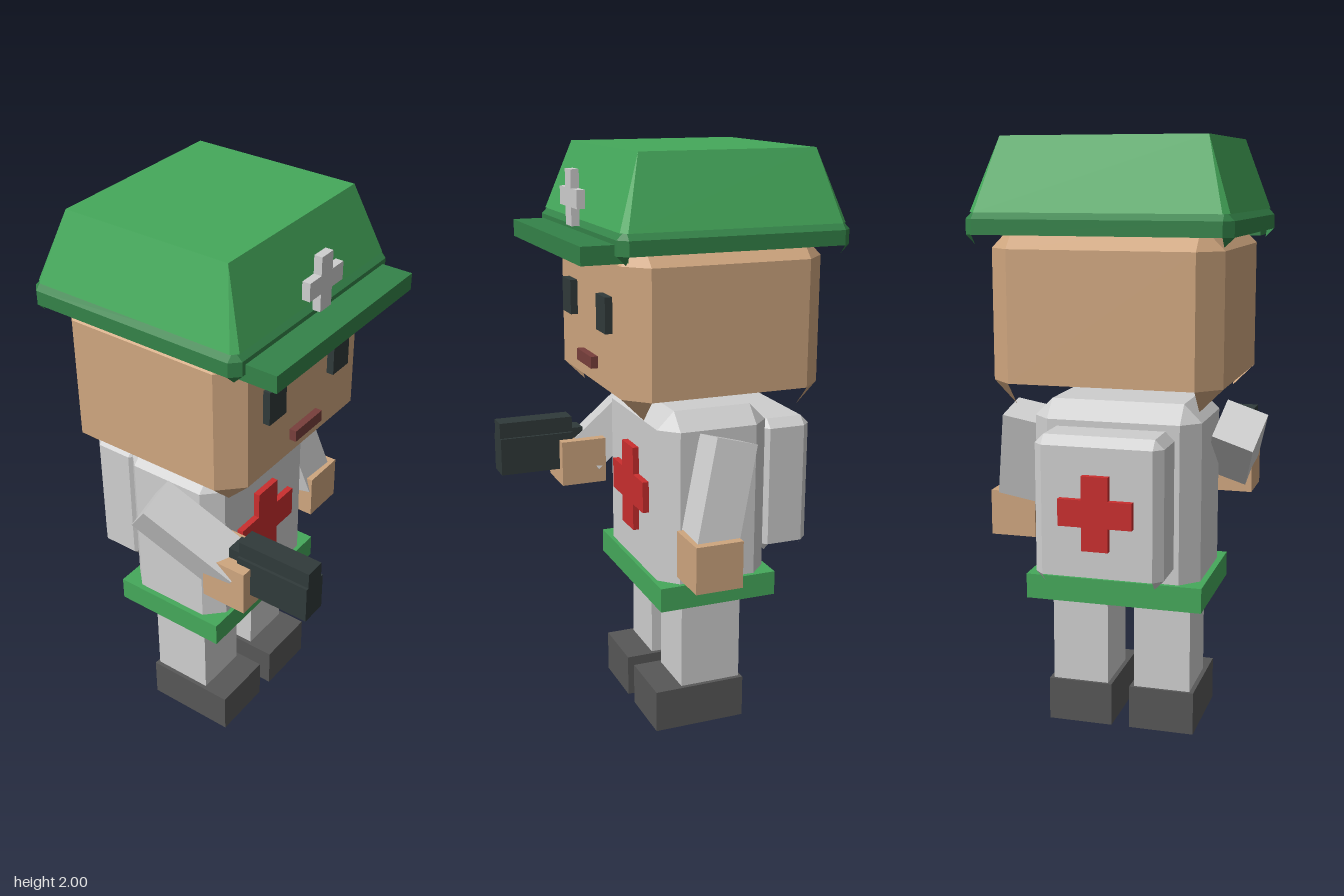
import * as THREE from 'three';

const material = (name, color) => {
  const m = new THREE.MeshStandardMaterial({ color, side: THREE.DoubleSide });
  m.name = name;
  return m;
};

// Eight-point ring around the y axis; c is the corner cut (0 makes doubled corners)
function ring(hx, hz, c, y) {
  const pts = [];
  for (const [sx, sz] of [[-1, 1], [1, 1], [1, -1], [-1, -1]]) {
    const onX = new THREE.Vector3(sx * hx, y, sz * (hz - c));
    const onZ = new THREE.Vector3(sx * (hx - c), y, sz * hz);
    pts.push(...(sx * sz < 0 ? [onX, onZ] : [onZ, onX]));
  }
  return pts;
}

// Flat-faced skin through the rings, closed on top, open below, with optional corner tips
function loft(rings, tips) {
  const pos = [];
  const tri = (a, b, c) => {
    if (a.distanceTo(b) < 1e-6 || b.distanceTo(c) < 1e-6 || a.distanceTo(c) < 1e-6) return;
    for (const p of [a, b, c]) pos.push(p.x, p.y, p.z);
  };
  for (let r = 0; r + 1 < rings.length; r++) {
    const a = rings[r], b = rings[r + 1];
    for (let i = 0; i < 8; i++) {
      const j = (i + 1) % 8;
      tri(a[i], a[j], b[j]);
      tri(a[i], b[j], b[i]);
    }
  }
  const top = rings[rings.length - 1];
  for (let i = 1; i < 7; i++) tri(top[0], top[i], top[i + 1]);
  if (tips) for (let i = 0; i < 8; i += 2) tri(rings[0][i], tips[i], rings[0][i + 1]);
  const g = new THREE.BufferGeometry();
  g.setAttribute('position', new THREE.Float32BufferAttribute(pos, 3));
  g.computeVertexNormals();
  return g;
}

export function createModel() {
  const model = new THREE.Group();
  model.name = 'medic';
  const skin = material('skin', 0xcfa67f);
  const cloth = material('light grey cloth', 0xcfcfcf);
  const green = material('green', 0x45a95b);
  const darkGreen = material('dark green', 0x348349);
  const red = material('red', 0xca2e2e);
  const dark = material('near black', 0x303a3a);
  const shoeGrey = material('shoe grey', 0x575757);
  const lip = material('lip brown', 0x783f3b);

  const add = (name, geometry, mat, parent = model) => {
    const mesh = new THREE.Mesh(geometry, mat);
    mesh.name = name;
    parent.add(mesh);
    return mesh;
  };

  // Box given by its extents
  function box(name, mat, [x0, x1], [y0, y1], [z0, z1], parent) {
    const m = add(name, new THREE.BoxGeometry(x1 - x0, y1 - y0, z1 - z0), mat, parent);
    m.position.set((x0 + x1) / 2, (y0 + y1) / 2, (z0 + z1) / 2);
    return m;
  }

  // Box without a bottom
  function lid(name, mat, [x0, x1], [y0, y1], [z0, z1]) {
    const hx = (x1 - x0) / 2, hz = (z1 - z0) / 2;
    const m = add(name, loft([ring(hx, hz, 0, y0), ring(hx, hz, 0, y1)]), mat);
    m.position.set((x0 + x1) / 2, 0, (z0 + z1) / 2);
  }

  // Chamfered box, open below, with pointed lower corners
  function chamfered(name, mat, [x0, x1], [y0, y1], [z0, z1], c) {
    const hx = (x1 - x0) / 2, hz = (z1 - z0) / 2;
    const inner = (y) => ring(hx - c, hz - c, 0, y);
    const g = loft([ring(hx, hz, c, y0 + c), ring(hx, hz, c, y1 - c), inner(y1)], inner(y0));
    add(name, g, mat).position.set((x0 + x1) / 2, 0, (z0 + z1) / 2);
  }

  // Plus-shaped plate
  function cross(name, mat, x, y, z, size, arm, depth) {
    const a = arm / 2, s = size / 2;
    const pts = [[-a, -s], [a, -s], [a, -a], [s, -a], [s, a], [a, a],
      [a, s], [-a, s], [-a, a], [-s, a], [-s, -a], [-a, -a]];
    const shape = new THREE.Shape(pts.map(([px, py]) => new THREE.Vector2(px, py)));
    const g = new THREE.ExtrudeGeometry(shape, { depth, bevelEnabled: false });
    add(name, g, mat).position.set(x, y, z);
  }

  // Square limb between two points, with a hint for its sideways direction
  function limb(name, mat, from, to, w, hint) {
    const a = new THREE.Vector3(...from), b = new THREE.Vector3(...to);
    const up = a.clone().sub(b), length = up.length();
    up.normalize();
    const side = new THREE.Vector3(...hint);
    side.addScaledVector(up, -side.dot(up)).normalize();
    const front = side.clone().cross(up);
    const m = add(name, new THREE.BoxGeometry(w, length, w), mat);
    m.quaternion.setFromRotationMatrix(new THREE.Matrix4().makeBasis(side, up, front));
    m.position.copy(a).add(b).multiplyScalar(0.5);
  }

  // Legs and shoes, mirrored about the body's middle
  const mid = -0.032;
  for (const s of [-1, 1]) {
    const span = (a, b) => [mid + s * a, mid + s * b].sort((p, q) => p - q);
    const side = s < 0 ? 'right' : 'left';
    box(side + 'Leg', cloth, span(0.047, 0.243), [0.14, 0.455], [-0.205, 0.015]);
    lid(side + 'Shoe', shoeGrey, span(0.032, 0.258), [0, 0.15], [-0.215, 0.115]);
  }

  // Torso, belt and chest cross
  chamfered('torso', cloth, [-0.315, 0.255], [0.46, 1.155], [-0.295, 0.1], 0.06);
  lid('belt', green, [-0.335, 0.27], [0.475, 0.56], [-0.31, 0.115]);
  cross('chestCross', red, -0.034, 0.836, 0.095, 0.302, 0.11, 0.027);

  // Backpack
  chamfered('backpack', cloth, [-0.245, 0.18], [0.595, 1.08], [-0.485, -0.295], 0.03);
  cross('backpackCross', red, -0.032, 0.84, -0.506, 0.243, 0.088, 0.026);

  // Arms and hands
  limb('leftArm', cloth, [0.325, 1.08, -0.1], [0.39, 0.72, 0], 0.145, [0.98, 0.17, 0]);
  box('leftHand', skin, [0.318, 0.482], [0.62, 0.782], [-0.087, 0.078]);
  limb('rightArm', cloth, [-0.413, 1.065, -0.09], [-0.335, 0.865, 0.2], 0.145, [0.95, 0.3, 0]);
  box('rightHand', skin, [-0.417, -0.253], [0.783, 0.947], [0.127, 0.292]);

  // Hand-held device
  const device = new THREE.Group();
  device.name = 'heldDevice';
  model.add(device);
  box('deviceBody', dark, [-0.38, -0.288], [0.838, 0.972], [0.24, 0.508], device);
  box('deviceRail', dark, [-0.37, -0.298], [0.972, 1.028], [0.24, 0.508], device);
  box('deviceRear', dark, [-0.37, -0.298], [0.9, 0.985], [0.2, 0.24], device);

  // Head and face
  chamfered('head', skin, [-0.41, 0.345], [1.157, 1.73], [-0.445, 0.25], 0.075);
  for (const x of [-0.212, 0.148]) {
    box('eye', dark, [x - 0.045, x + 0.045], [1.43, 1.548], [0.25, 0.275]);
  }
  box('mouth', lip, [-0.107, 0.043], [1.285, 1.325], [0.25, 0.275]);

  // Helmet: band, sloped dome, brim and badge
  chamfered('helmetBand', darkGreen, [-0.455, 0.392], [1.67, 1.778], [-0.495, 0.294], 0.03);
  add('helmetDome', loft([ring(0.41, 0.382, 0.02, 1.768), ring(0.33, 0.3, 0, 2)]), green)
    .position.set(-0.031, 0, -0.1);
  lid('helmetBrim', darkGreen, [-0.41, 0.346], [1.675, 1.733], [0.25, 0.402]);
  cross('helmetBadge', cloth, -0.032, 1.84, 0.29, 0.18, 0.06, 0.028);

  return model;
}
